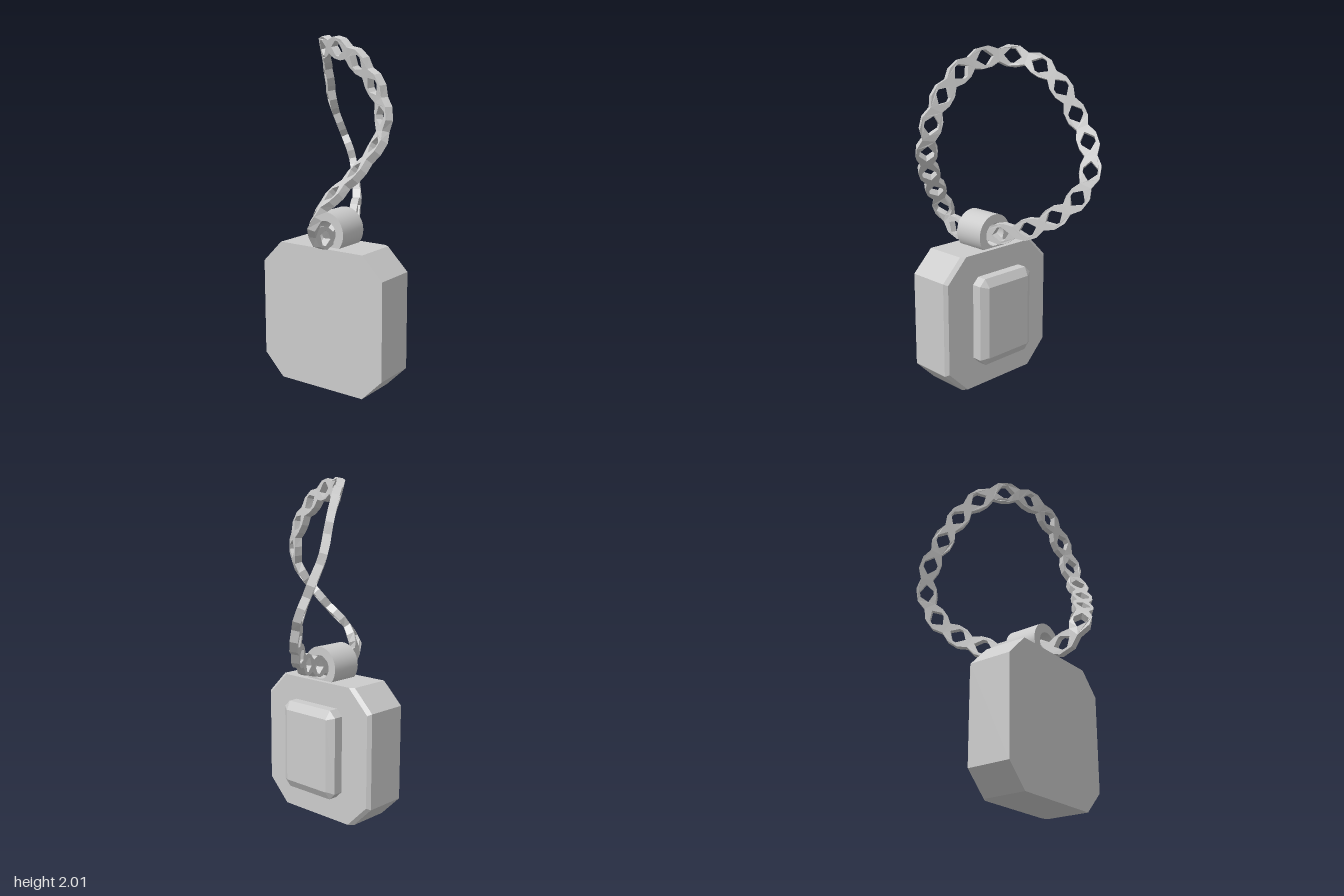
import * as THREE from 'three';
import { toCreasedNormals } from 'three/addons/utils/BufferGeometryUtils.js';

const material = new THREE.MeshStandardMaterial({ color: 0xcccccc });

function addMesh(parent, name, geometry) {
  const mesh = new THREE.Mesh(geometry, material);
  mesh.name = name;
  parent.add(mesh);
  return mesh;
}

// Solid lofted along x through cut-corner rectangles: { x, h: half width in z, y0, y1, c: corner cut }
function cutCornerSolid(sections) {
  const rings = sections.map(({ x, h, y0, y1, c }) => [
    [h, y0 + c], [h, y1 - c], [h - c, y1], [c - h, y1],
    [-h, y1 - c], [-h, y0 + c], [c - h, y0], [h - c, y0],
  ].map(([r, y]) => [x, y, -r]));
  const pos = [];
  const tri = (a, b, c) => pos.push(...a, ...b, ...c);
  for (let i = 0; i < rings.length - 1; i++) {
    for (let j = 0; j < 8; j++) {
      const k = (j + 1) % 8;
      tri(rings[i][j], rings[i][k], rings[i + 1][k]);
      tri(rings[i][j], rings[i + 1][k], rings[i + 1][j]);
    }
  }
  const back = rings[0], front = rings[rings.length - 1];
  for (let j = 1; j < 7; j++) {
    tri(front[0], front[j], front[j + 1]);
    tri(back[0], back[j + 1], back[j]);
  }
  const g = new THREE.BufferGeometry();
  g.setAttribute('position', new THREE.Float32BufferAttribute(pos, 3));
  g.computeVertexNormals();
  return g;
}

// Centre line of the chain, starting at the top
const path = new THREE.CatmullRomCurve3([
  [-0.03, 1.94, -0.14], [0.11, 1.88, -0.24], [0.22, 1.75, -0.30], [0.30, 1.60, -0.335],
  [0.40, 1.43, -0.335], [0.435, 1.28, -0.29], [0.39, 1.14, -0.225], [0.30, 1.045, -0.15],
  [0.19, 0.975, -0.085], [0.07, 0.935, -0.03], [-0.10, 0.90, 0.015], [-0.30, 0.895, 0.04],
  [-0.405, 0.97, 0.05], [-0.40, 1.09, 0.11], [-0.34, 1.21, 0.21], [-0.265, 1.36, 0.315],
  [-0.20, 1.48, 0.355], [-0.165, 1.65, 0.33], [-0.145, 1.82, 0.21], [-0.12, 1.92, 0.06],
].map((p) => new THREE.Vector3(...p)), true);
path.arcLengthDivisions = 800;

// Flat link outline with a diamond opening
function linkGeometry(length, thickness) {
  const e = length / 2;
  const points = (list) => list.map(([x, y]) => new THREE.Vector2(x, y));
  const shape = new THREE.Shape(points([
    [-e, -0.036], [-0.032, -0.06], [0.032, -0.06], [e, -0.036],
    [e, 0.036], [0.032, 0.06], [-0.032, 0.06], [-e, 0.036],
  ]));
  shape.holes.push(new THREE.Path(points([
    [-0.056, 0], [-0.013, 0.042], [0.013, 0.042], [0.056, 0], [0.013, -0.042], [-0.013, -0.042],
  ])));
  return new THREE.ExtrudeGeometry(shape, { depth: thickness, bevelEnabled: false })
    .translate(0, 0, -thickness / 2);
}

// Lay a link on the path: x runs along it, y points outward from the loop, z across
function layOnPath(geometry, start, total) {
  const centre = new THREE.Vector3(0, 1.4, 0);
  const pos = geometry.attributes.position;
  const v = new THREE.Vector3();
  for (let i = 0; i < pos.count; i++) {
    v.fromBufferAttribute(pos, i);
    const t = (start + v.x / total + 1) % 1;
    const p = path.getPointAt(t);
    const tangent = path.getTangentAt(t);
    const out = p.clone().sub(centre);
    out.addScaledVector(tangent, -out.dot(tangent)).normalize();
    const across = tangent.clone().cross(out);
    p.addScaledVector(out, v.y).addScaledVector(across, v.z);
    pos.setXYZ(i, p.x, p.y, p.z);
  }
  geometry.computeVertexNormals();
  return geometry;
}

export function createModel() {
  const model = new THREE.Group();
  model.name = 'pendant';

  // Block with cut corners and a bevelled front edge
  addMesh(model, 'body', cutCornerSolid([
    { x: -0.28, h: 0.415, y0: 0, y1: 0.83, c: 0.13 },
    { x: -0.02, h: 0.415, y0: 0, y1: 0.83, c: 0.13 },
    { x: 0, h: 0.395, y0: 0, y1: 0.83, c: 0.14 },
  ]));

  // Raised stone on the face
  addMesh(model, 'stone', cutCornerSolid([
    { x: -0.01, h: 0.205, y0: 0.15, y1: 0.69, c: 0.04 },
    { x: 0.06, h: 0.205, y0: 0.15, y1: 0.69, c: 0.04 },
    { x: 0.09, h: 0.16, y0: 0.2, y1: 0.64, c: 0.003 },
  ]));

  // Hanging ring on top of the body
  const ringProfile = [[0.07, -0.1], [0.122, -0.1], [0.122, 0.1], [0.07, 0.1], [0.07, -0.1]]
    .map(([r, y]) => new THREE.Vector2(r, y));
  const ring = toCreasedNormals(new THREE.LatheGeometry(ringProfile, 40), 0.5);
  ring.rotateZ(-Math.PI / 2).translate(-0.13, 0.908, 0);
  addMesh(model, 'hangingRing', ring);

  // Closed chain of links
  const chain = new THREE.Group();
  chain.name = 'chain';
  model.add(chain);
  const count = 20;
  const total = path.getLength();
  for (let i = 0; i < count; i++) {
    addMesh(chain, 'link', layOnPath(linkGeometry(total / count, 0.045), i / count, total));
  }
  return model;
}
